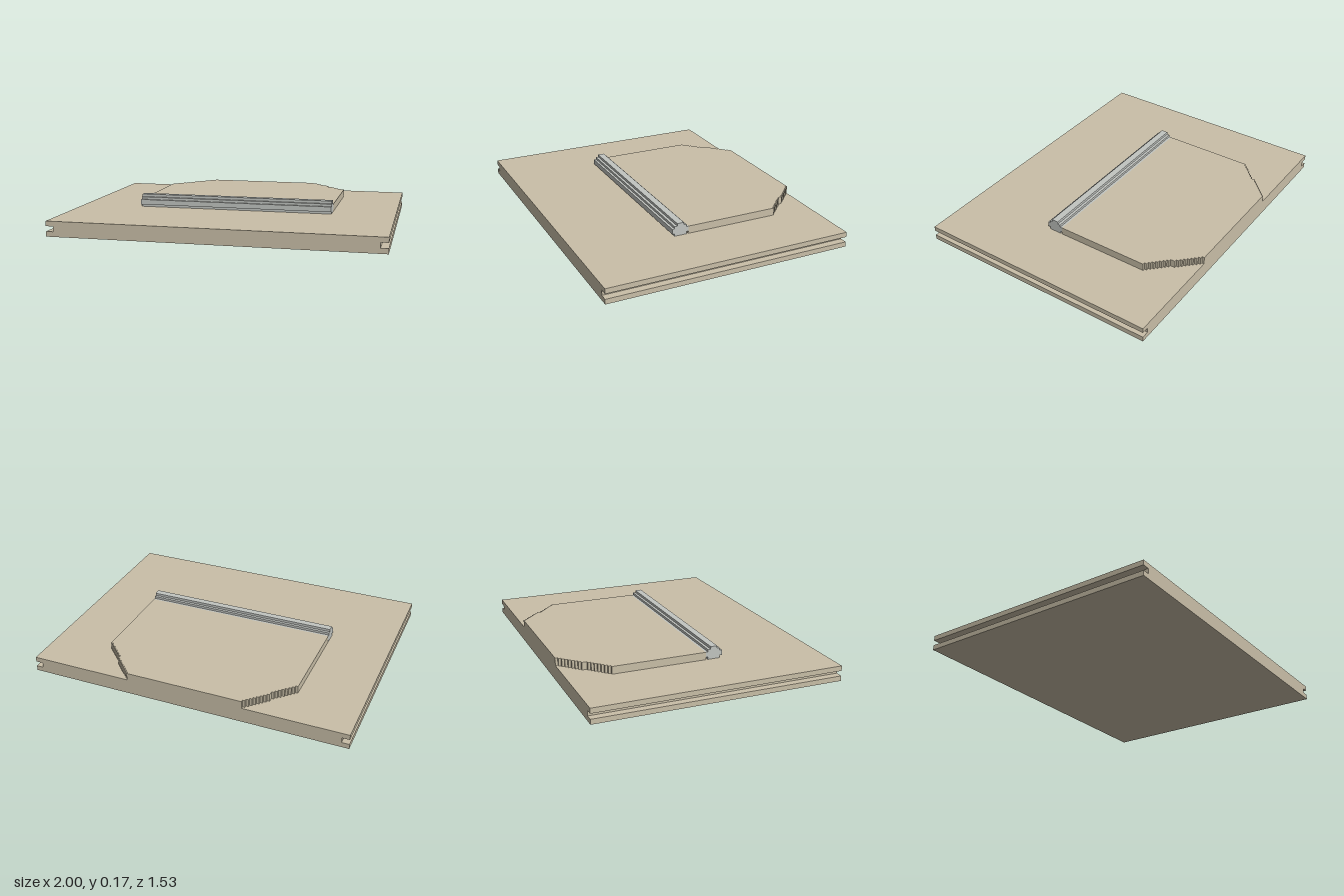
import * as THREE from 'three';

const W = 1, D = 0.767, PLATE_TOP = 0.094, STEP_TOP = 0.141, HALF = 0.613;

function makeShape(points) {
  return new THREE.Shape(points.map(([x, y]) => new THREE.Vector2(x, y)));
}

function extrude(points, depth) {
  return new THREE.ExtrudeGeometry(makeShape(points), { depth, bevelEnabled: false });
}

export function createModel() {
  const group = new THREE.Group();
  const tan = new THREE.MeshStandardMaterial({ color: 0xc9bfa8 });
  tan.name = 'tan';
  const grey = new THREE.MeshStandardMaterial({ color: 0xc2c5c1 });
  grey.name = 'light grey';

  const add = (name, geometry, material) => {
    const mesh = new THREE.Mesh(geometry, material);
    mesh.name = name;
    group.add(mesh);
  };

  // Base plate with a groove along each side edge
  const g = W - 0.045, lo = 0.031, hi = 0.063;
  const base = extrude([
    [-W, 0], [W, 0], [W, lo], [g, lo], [g, hi], [W, hi], [W, PLATE_TOP],
    [-W, PLATE_TOP], [-W, hi], [-g, hi], [-g, lo], [-W, lo],
  ], 2 * D);
  base.translate(0, 0, -D);
  add('basePlate', base, tan);

  // Raised panel whose rear corners are cut off in small stairs
  const front = 0.08, cut = 0.508, steps = 16;
  const dx = (HALF - 0.365) / steps, dz = (D - cut) / (steps + 1);
  const right = [[HALF, -front]];
  let x = HALF, y = cut;
  right.push([x, y]);
  for (let i = 0; i < steps; i++) {
    x -= dx;
    right.push([x, y]);
    y += i === 7 ? 2 * dz : dz; // one taller stair halfway
    right.push([x, y]);
  }
  const left = right.map(([px, py]) => [-px, py]).reverse();
  const panel = extrude([...right, ...left], STEP_TOP - PLATE_TOP);
  panel.rotateX(-Math.PI / 2);
  panel.translate(0, PLATE_TOP, 0);
  add('raisedPanel', panel, tan);

  // Stepped round bar along the front of the panel
  const half = [
    [0.038, 0.094], [0.038, 0.109], [0.053, 0.109], [0.053, 0.141],
    [0.038, 0.141], [0.038, 0.156], [0.021, 0.156], [0.021, 0.172],
  ];
  const profile = [...half, ...half.map(([px, py]) => [-px, py]).reverse()];
  const bar = extrude(profile, 2 * HALF);
  bar.translate(0, 0, -HALF);
  bar.rotateY(-Math.PI / 2);
  bar.translate(0, 0, 0.131);
  add('frontBar', bar, grey);

  return group;
}
